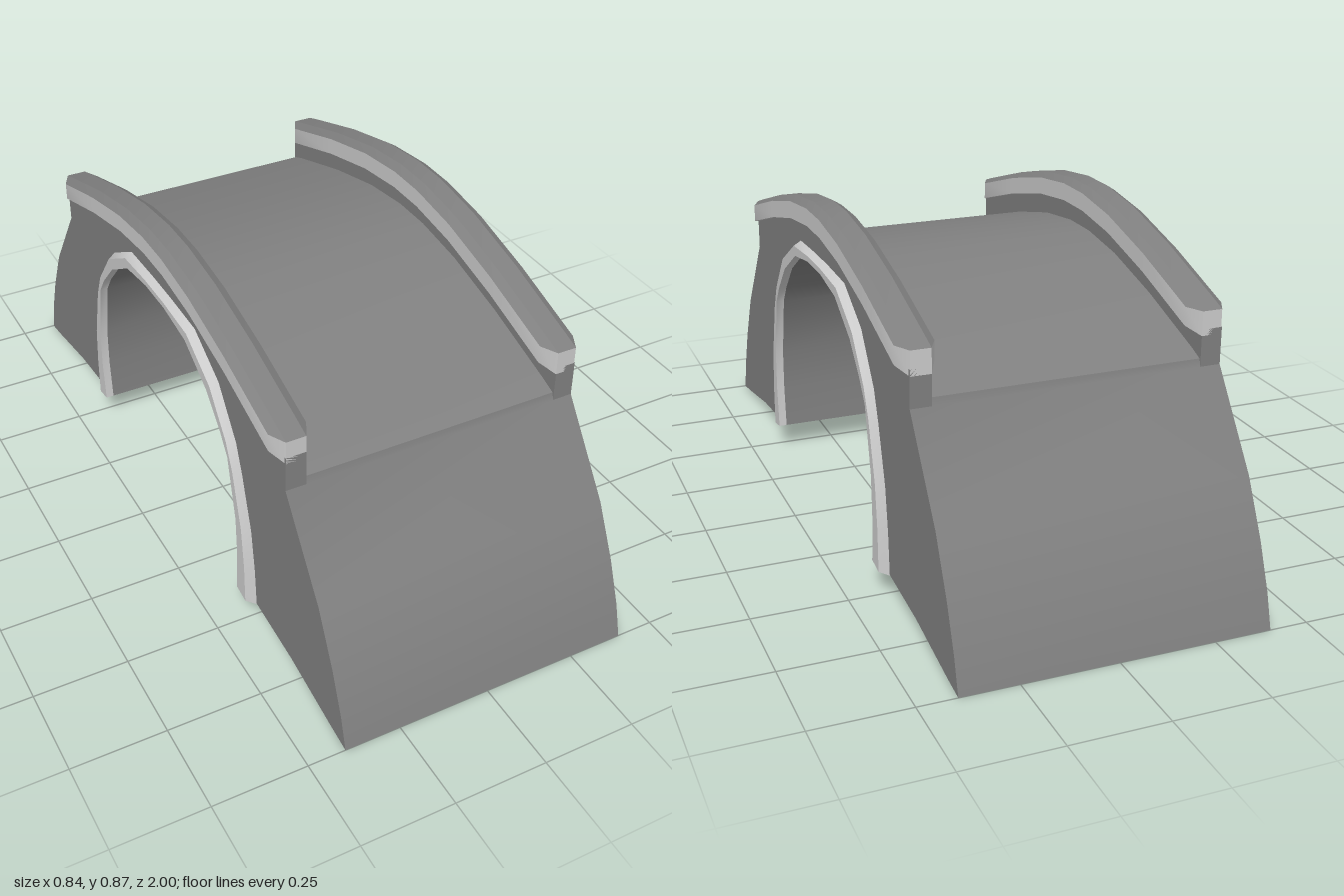
import * as THREE from 'three';
import { toCreasedNormals } from 'three/addons/utils/BufferGeometryUtils.js';

const stone = new THREE.MeshStandardMaterial({ color: 0x808080 });
const edging = new THREE.MeshStandardMaterial({ color: 0xcccccc });

// half profiles as [z, y], mirrored in z
const crown = [[0.695, -0.156], [0.65, -0.141], [0.42, -0.07], [0.22, -0.022], [0.06, -0.002]];
const bank = [[1, 0.005], [0.975, 0.095], [0.93, 0.21], [0.86, 0.35], [0.695, 0.578]];
const foot = [[0.455, 0.08], [0.53, 0.07], [0.72, 0.052], [0.93, 0.015]];
// arch: inner z, y, outer z, y
const arch = [
  [0.455, 0.08, 0.527, 0.068], [0.464, 0.2, 0.52, 0.18], [0.46, 0.316, 0.504, 0.3],
  [0.423, 0.488, 0.46, 0.45], [0.386, 0.54, 0.43, 0.53], [0.31, 0.62, 0.338, 0.654],
  [0.188, 0.693, 0.204, 0.73], [0.06, 0.713, 0.06, 0.735],
];

const flip = (pts) => pts.map((p) => p.map((v, i) => (i % 2 ? v : -v))).reverse();
const mirrored = (pts) => [...pts, ...flip(pts)];
const lift = (pts, y) => pts.map((p) => [p[0], p[1] + y]);

function addMesh(parent, name, geometry, material) {
  const mesh = new THREE.Mesh(toCreasedNormals(geometry, 0.5), material);
  mesh.name = name;
  parent.add(mesh);
}

// extrude a [z, y] outline across x
function across(outline, x0, x1) {
  const shape = new THREE.Shape(outline.map(([z, y]) => new THREE.Vector2(z, y)));
  return new THREE.ExtrudeGeometry(shape, { depth: x1 - x0, bevelEnabled: false })
    .rotateY(-Math.PI / 2).translate(x1, 0, 0);
}

// skin a row of convex closed sections and cap the ends
function loft(sections) {
  const n = sections[0].length, index = [], last = (sections.length - 1) * n;
  for (let i = 0; i < sections.length - 1; i++) {
    for (let j = 0; j < n; j++) {
      const a = i * n + j, b = i * n + (j + 1) % n;
      index.push(a, b, b + n, a, b + n, a + n);
    }
  }
  for (let j = 1; j < n - 1; j++) {
    index.push(0, j + 1, j, last, last + j, last + j + 1);
  }
  const g = new THREE.BufferGeometry();
  g.setAttribute('position', new THREE.Float32BufferAttribute(sections.flat(2), 3));
  g.setIndex(index);
  return g;
}

export function createModel() {
  const bridge = new THREE.Group();
  bridge.name = 'archBridge';

  // solid body: banks, deck and arch opening
  const half = [...bank, ...lift(crown, 0.754)];
  half.splice(bank.length, 1, [0.69, 0.598]);
  const opening = mirrored(arch.map(([z, y]) => [z, y]));
  const outline = [
    ...mirrored(half),
    ...flip(foot.slice(1)),
    ...opening.reverse(),
    ...foot.slice(1),
  ];
  addMesh(bridge, 'body', across(outline, -0.4, 0.4), stone);

  const railX = 0.372, topHalf = 0.026, bevel = 0.015;
  const stations = mirrored(lift(crown, 0.876)).reverse();
  const railSection = (z, top) => {
    const w = Math.abs(z) > 0.69 ? topHalf : 0.049;
    return { w, top, shoulder: top - bevel * (w - topHalf) / 0.023 };
  };

  for (const side of [0, 1]) {
    const group = new THREE.Group();
    group.name = side ? 'rightSide' : 'leftSide';
    group.rotation.y = side * Math.PI;
    bridge.add(group);

    // parapet wall standing on the deck edge
    const wall = [[0.695, 0.578], ...lift(crown, 0.83), ...flip(lift(crown, 0.83)), [-0.695, 0.578],
      ...flip(lift(crown, 0.745)).reverse().slice(1), ...lift(crown, 0.745).reverse().slice(0, -1)];
    // order the lower edge from back to front
    const lower = mirrored(lift(crown, 0.745)).reverse().slice(1, -1);
    wall.splice(2 + 2 * crown.length, wall.length, ...lower);
    addMesh(group, 'parapetWall', across(wall, 0.346, 0.4), stone);

    // handrail with tapered ends
    addMesh(group, 'handrail', loft(stations.map(([z, top]) => {
      const { w, shoulder } = railSection(z, top);
      return [[railX - w, top - 0.063, z], [railX + w, top - 0.063, z],
        [railX + w, shoulder, z], [railX - w, shoulder, z]];
    })), edging);

    // bevelled top of the handrail
    addMesh(group, 'handrailCap', loft(stations.map(([z, top]) => {
      const { w, shoulder } = railSection(z, top);
      return [[railX - w, shoulder, z], [railX + w, shoulder, z],
        [railX + topHalf, top, z], [railX - topHalf, top, z]];
    })), stone);

    // raised trim around the arch
    addMesh(group, 'archTrim', loft(mirrored(arch).map(([zi, yi, zo, yo]) => {
      const zm = zo + (zi - zo) * 0.3, ym = yo + (yi - yo) * 0.3;
      return [[0.4, yo, zo], [0.422, ym, zm], [0.422, yi, zi], [0.4, yi, zi]];
    })), edging);
  }
  return bridge;
}
